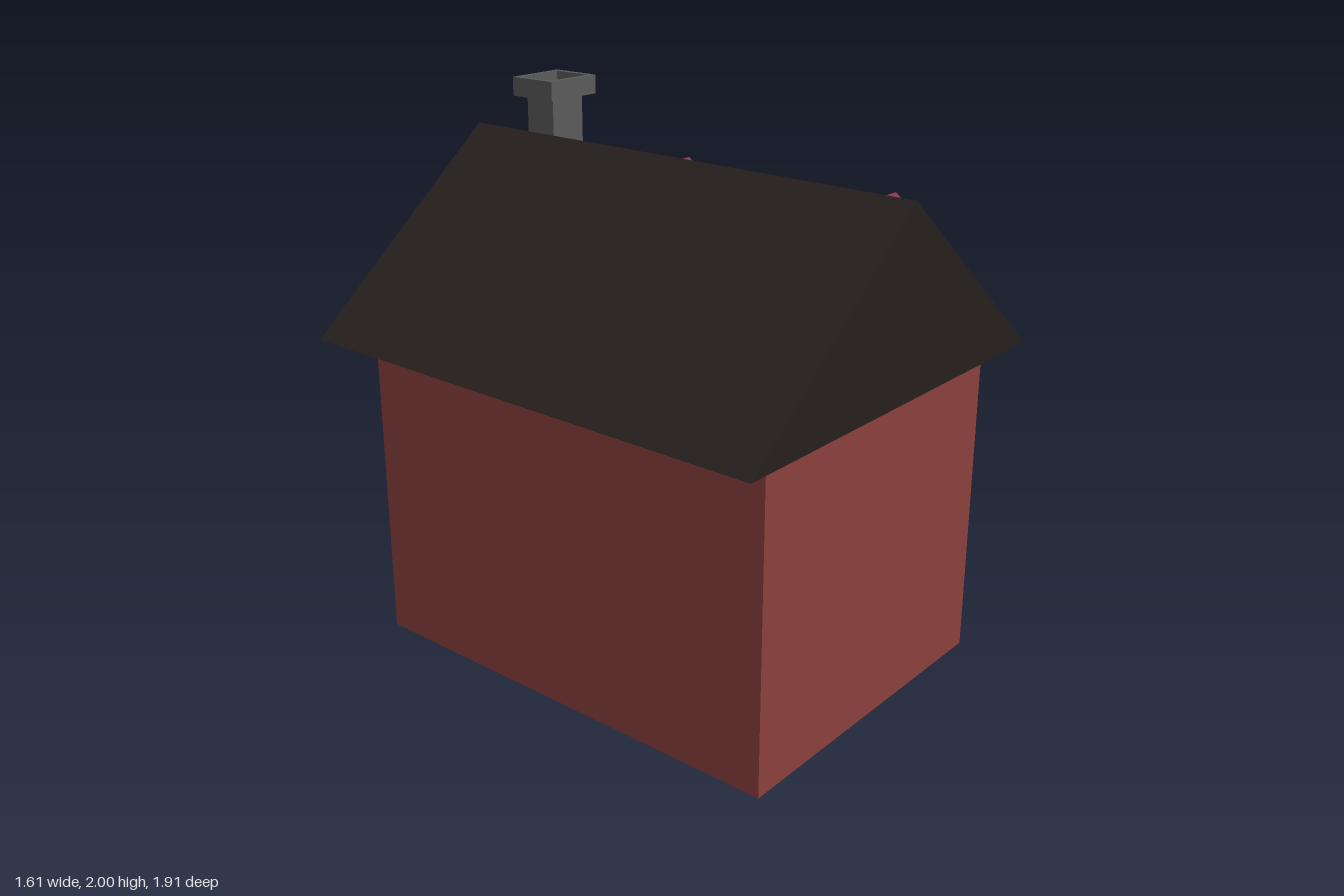
import * as THREE from 'three';

const paint = (color) => new THREE.MeshStandardMaterial({ color, flatShading: true });
const brick = paint(0x8b3f3c);
const slate = paint(0x26201d);
const plum = paint(0x863257);
const stone = paint(0x5a5a5a);
const pale = paint(0xcccccc);

function add(parent, name, geometry, material, x = 0, y = 0, z = 0) {
  const mesh = new THREE.Mesh(geometry, material);
  mesh.name = name;
  mesh.position.set(x, y, z);
  parent.add(mesh);
  return mesh;
}

const polygon = (points) => new THREE.Shape(points.map(([x, y]) => new THREE.Vector2(x, y)));

const rect = (w, h) => polygon([[-w / 2, -h / 2], [w / 2, -h / 2], [w / 2, h / 2], [-w / 2, h / 2]]);

const extrude = (shape, depth) => new THREE.ExtrudeGeometry(shape, { depth, bevelEnabled: false });

// Upright rectangular tube, standing on y = 0
function tube(w, d, innerW, innerD, height) {
  const shape = rect(w, d);
  shape.holes.push(rect(innerW, innerD));
  return extrude(shape, height).rotateX(-Math.PI / 2);
}

export function createModel() {
  const house = new THREE.Group();
  house.name = 'house';

  // Thick walls, open underneath
  const walls = add(house, 'walls', tube(1.26, 1.73, 0.92, 1.27, 1.18), brick, 0, 0, 0.01);
  walls.rotation.y = 0.005;

  // Solid gable roof, sitting very slightly askew
  const gable = polygon([[-0.8, 0], [0.8, 0], [0, 0.655]]);
  const roof = add(house, 'roof', extrude(gable, 1.9).translate(0, 0, -0.95), slate, -0.003, 1.17, 0);
  roof.rotation.set(0.007, 0.005, 0);

  // Door and four window panels on the +x wall
  const panel = (name, height, depth, y, z) =>
    add(house, name, new THREE.BoxGeometry(0.06, height, depth), pale, 0.625, y, z);
  panel('door', 0.585, 0.27, 0.308, -0.015);
  for (const z of [0.5, -0.49]) {
    panel('lowerWindow', 0.315, 0.42, 0.318, z);
    panel('upperWindow', 0.315, 0.42, 0.898, z);
  }

  // Two dormers running back into the roof slope
  const dormerFace = polygon([[-0.277, 0], [0.277, 0], [0.277, 0.163], [0, 0.388], [-0.277, 0.163]]);
  for (const z of [0.463, -0.492]) {
    const dormer = add(house, 'dormer', extrude(dormerFace, 0.54), plum, 0.147, 1.263, z);
    dormer.rotation.y = Math.PI / 2 + 0.005;
  }

  // Chimney shaft with a hollow cap
  const chimney = new THREE.Group();
  chimney.name = 'chimney';
  chimney.position.set(0.203, 0, -0.752);
  house.add(chimney);
  add(chimney, 'chimneyShaft', new THREE.BoxGeometry(0.156, 0.43, 0.132), stone, 0, 1.725, 0);
  add(chimney, 'chimneyCapBase', new THREE.BoxGeometry(0.236, 0.02, 0.2), stone, 0, 1.94, 0);
  add(chimney, 'chimneyCapRim', tube(0.236, 0.2, 0.19, 0.156, 0.05), stone, 0, 1.95, 0);

  return house;
}
